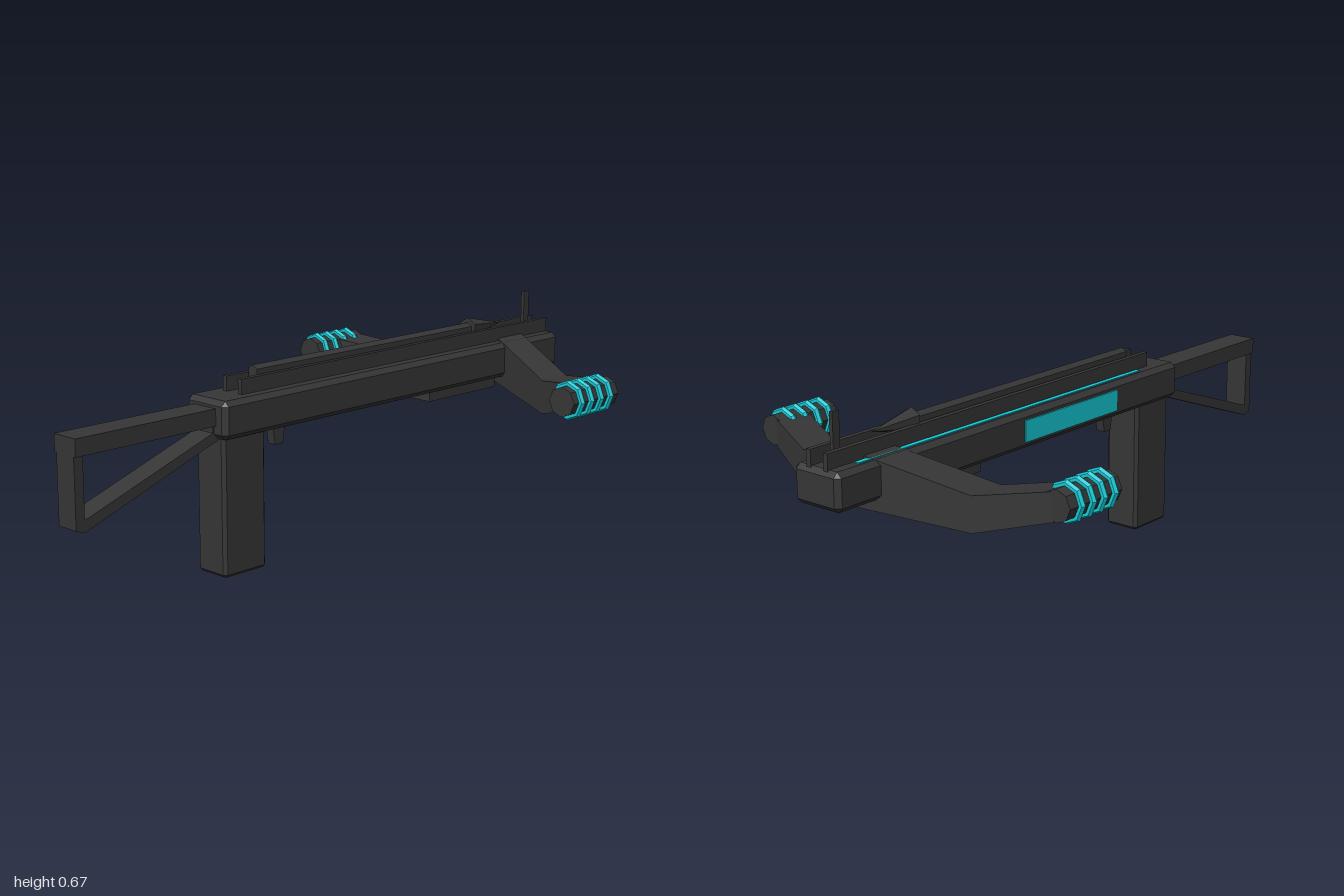
import * as THREE from 'three';
import { ConvexGeometry } from 'three/addons/geometries/ConvexGeometry.js';

export function createModel() {
  const root = new THREE.Group();
  const dark = new THREE.MeshStandardMaterial({ color: 0x363636 });
  dark.name = 'charcoal';
  const cyan = new THREE.MeshStandardMaterial({ color: 0x14c8d4 });
  cyan.name = 'cyan';

  const add = (name, geo, mat = dark, parent = root) => {
    const m = new THREE.Mesh(geo, mat);
    m.name = name;
    parent.add(m);
    return m;
  };
  // box given by its limits on each axis
  const box = (name, [x0, x1], [y0, y1], [z0, z1], mat) => {
    const g = new THREE.BoxGeometry(x1 - x0, y1 - y0, z1 - z0);
    g.translate((x0 + x1) / 2, (y0 + y1) / 2, (z0 + z1) / 2);
    return add(name, g, mat);
  };
  // box with every edge cut by a flat chamfer
  const chamferBox = (name, [x0, x1], [y0, y1], [z0, z1], c) => {
    const half = [(x1 - x0) / 2, (y1 - y0) / 2, (z1 - z0) / 2];
    const pts = [];
    for (const sx of [-1, 1]) for (const sy of [-1, 1]) for (const sz of [-1, 1])
      for (let k = 0; k < 3; k++) {
        const h = half.map((v, i) => (i === k ? v : v - c));
        pts.push(new THREE.Vector3(sx * h[0], sy * h[1], sz * h[2]));
      }
    const g = new ConvexGeometry(pts);
    g.translate((x0 + x1) / 2, (y0 + y1) / 2, (z0 + z1) / 2);
    return add(name, g);
  };
  const shapeOf = (pts) => new THREE.Shape(pts.map((p) => new THREE.Vector2(...p)));
  // side profile given as [z, y], extruded evenly across x
  const sideProfile = (shape, width) => {
    const g = new THREE.ExtrudeGeometry(shape, { depth: width, bevelEnabled: false });
    g.translate(0, 0, -width / 2);
    g.rotateY(-Math.PI / 2);
    return g;
  };

  // main body and grip
  chamferBox('body', [-0.085, 0.085], [0.417, 0.53], [-1, 0.505], 0.015);
  chamferBox('grip', [-0.06, 0.06], [0, 0.425], [0.325, 0.49], 0.01);
  add('trigger', sideProfile(shapeOf([[0.215, 0.35], [0.247, 0.35], [0.257, 0.42], [0.204, 0.42]]), 0.03));
  box('underBlock', [-0.045, 0.045], [0.38, 0.42], [-0.72, -0.4]);

  // open triangular stock
  const stock = shapeOf([[0.48, 0.415], [0.97, 0.24], [1, 0.25], [1, 0.5], [0.48, 0.5]]);
  stock.holes.push(new THREE.Path([[0.51, 0.435], [0.51, 0.458], [0.97, 0.458], [0.97, 0.275]]
    .map((p) => new THREE.Vector2(...p))));
  add('stockFrame', sideProfile(stock, 0.076));
  box('stockTopBar', [-0.046, 0.046], [0.456, 0.507], [0.49, 1]);

  // guide rails, bolt and sight
  for (const s of [-1, 1]) {
    const rail = box('guideRail', [-0.008, 0.008], [0.525, 0.575], [-0.99, 0.4]);
    rail.position.x = s * 0.032;
  }
  const shaft = new THREE.CylinderGeometry(0.021, 0.021, 0.95, 6);
  shaft.rotateX(-Math.PI / 2);
  const bolt = add('boltShaft', shaft.toNonIndexed());
  bolt.position.set(0, 0.579, -0.155);
  bolt.geometry.computeVertexNormals();
  const tip = new THREE.ConeGeometry(0.036, 0.16, 6).toNonIndexed();
  tip.rotateX(-Math.PI / 2);
  tip.computeVertexNormals();
  add('boltHead', tip).position.set(0, 0.58, -0.71);
  box('frontSight', [-0.006, 0.006], [0.52, 0.67], [-0.935, -0.91]);

  // glowing strip and side panel
  box('topStrip', [-0.062, -0.046], [0.526, 0.533], [-0.9, 0.335], cyan);
  box('sidePanel', [-0.09, -0.084], [0.44, 0.506], [-0.25, 0.185], cyan);

  // swept limbs with ringed end pods
  for (const s of [-1, 1]) {
    const side = new THREE.Group();
    side.name = s > 0 ? 'leftLimb' : 'rightLimb';
    root.add(side);

    const outline = [[0, 0.393], [0.32, 0.35], [0.53, 0.405], [0.53, 0.49], [0.32, 0.456], [0, 0.55]]
      .map(([x, y]) => [x * s, y]);
    const limb = new THREE.ExtrudeGeometry(shapeOf(outline), { depth: 0.12, bevelEnabled: false });
    const p = limb.attributes.position;
    for (let i = 0; i < p.count; i++) p.setZ(i, p.getZ(i) - 0.875 + 0.41 * Math.abs(p.getX(i)));
    limb.computeVertexNormals();
    add('limbArm', limb, dark, side);

    let pod = new THREE.CylinderGeometry(0.047, 0.047, 0.22, 8);
    pod.rotateX(Math.PI / 2);
    pod = pod.toNonIndexed();
    pod.computeVertexNormals();
    add('endPod', pod, dark, side).position.set(s * 0.54, 0.453, -0.55);

    for (const z of [-0.615, -0.568, -0.521, -0.474]) {
      const ring = new THREE.TorusGeometry(0.051, 0.011, 6, 8).toNonIndexed();
      ring.computeVertexNormals();
      add('podRing', ring, cyan, side).position.set(s * 0.54, 0.453, z);
    }
  }
  return root;
}
